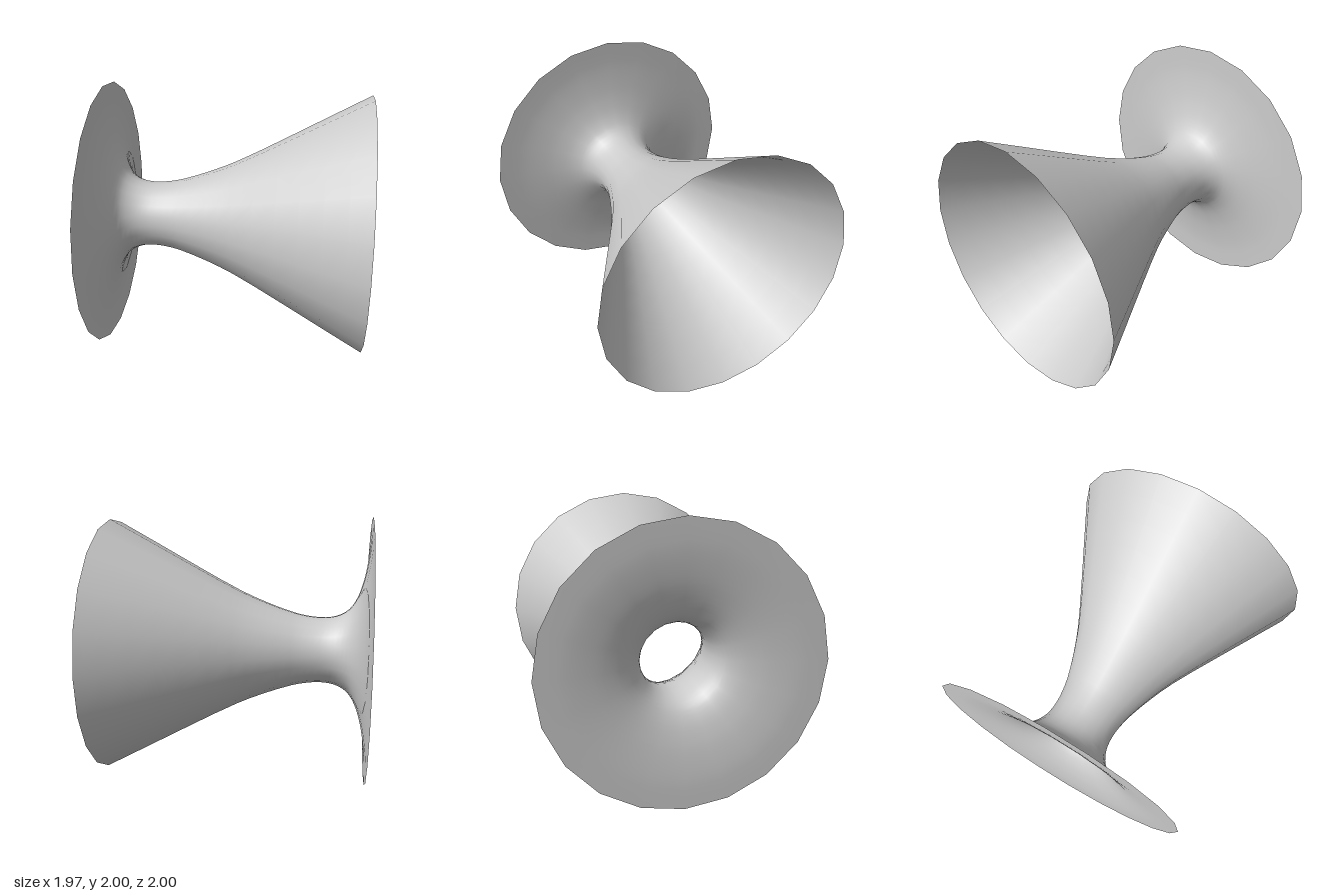
import * as THREE from 'three';

export function createModel() {
  const group = new THREE.Group();
  group.name = 'flaredHorn';

  // Profile as [radius, distance along the axis], from wide flange through throat to horn mouth
  const profile = [
    [1, -0.983], [0.85, -0.98], [0.765, -0.974], [0.675, -0.963], [0.58, -0.947], [0.5, -0.927],
    [0.43, -0.904], [0.37, -0.875], [0.316, -0.836], [0.274, -0.773], [0.253, -0.704],
    [0.247, -0.625], [0.257, -0.52], [0.28, -0.414], [0.353, -0.2], [0.438, 0],
    [0.607, 0.325], [0.786, 0.657], [0.961, 0.983],
  ].map(([r, a]) => new THREE.Vector3(r, a, 0));
  const points = new THREE.CatmullRomCurve3(profile, false, 'centripetal')
    .getPoints((profile.length - 1) * 2)
    .map((p) => new THREE.Vector2(p.x, p.y));

  // Thin open shell, twenty sides around, laid along x
  const horn = new THREE.Mesh(
    new THREE.LatheGeometry(points, 20),
    new THREE.MeshStandardMaterial({ color: 0xcccccc, side: THREE.DoubleSide })
  );
  horn.name = 'hornShell';
  horn.rotation.z = -Math.PI / 2;
  horn.position.y = 1;
  group.add(horn);

  return group;
}
